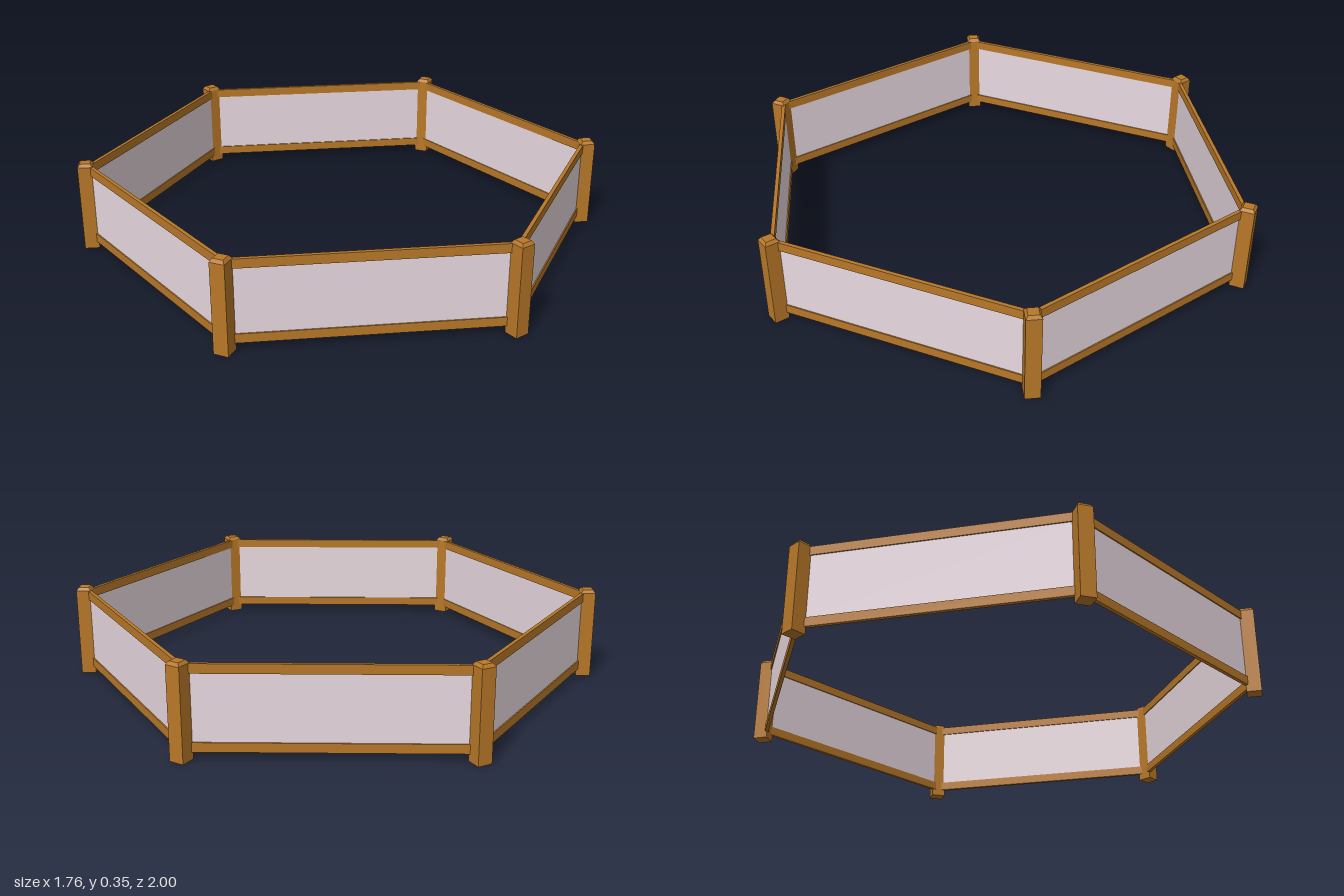
import * as THREE from 'three';

const SIDES = 6;
const POST_RADIUS = 0.9725; // distance of post centres from the middle
const APOTHEM = 0.832; // distance of panels from the middle
const PANEL_LENGTH = 0.93;

export function createModel() {
  const model = new THREE.Group();
  model.name = 'hexagonalFence';
  const wood = new THREE.MeshStandardMaterial({ color: 0xb87828, flatShading: true });
  const pane = new THREE.MeshStandardMaterial({ color: 0xe8d9e0, flatShading: true });

  // Square post with a chamfered top
  const half = 0.0275, inset = 0.019, corner = Math.SQRT2;
  const postGeometry = new THREE.LatheGeometry([
    new THREE.Vector2(0, 0),
    new THREE.Vector2(half * corner, 0),
    new THREE.Vector2(half * corner, 0.335),
    new THREE.Vector2(inset * corner, 0.347),
    new THREE.Vector2(0, 0.347),
  ], 4, Math.PI / 4);

  const railGeometry = new THREE.BoxGeometry(PANEL_LENGTH, 0.034, 0.014);
  const paneGeometry = new THREE.BoxGeometry(PANEL_LENGTH, 0.245, 0.005);

  const add = (parent, name, geometry, material, y, z) => {
    const mesh = new THREE.Mesh(geometry, material);
    mesh.name = name;
    mesh.position.set(0, y, z);
    parent.add(mesh);
  };

  for (let i = 0; i < SIDES; i++) {
    const angle = (i / SIDES) * Math.PI * 2;

    // Corner post, facing outwards
    const corner = new THREE.Group();
    corner.name = 'cornerPost';
    corner.rotation.y = angle;
    add(corner, 'post', postGeometry, wood, 0, POST_RADIUS);
    model.add(corner);

    // Panel between two posts, framed by two rails
    const side = new THREE.Group();
    side.name = 'sidePanel';
    side.rotation.y = angle + Math.PI / SIDES;
    add(side, 'topRail', railGeometry, wood, 0.317, APOTHEM);
    add(side, 'bottomRail', railGeometry, wood, 0.044, APOTHEM);
    add(side, 'pane', paneGeometry, pane, 0.1805, APOTHEM);
    model.add(side);
  }
  return model;
}
